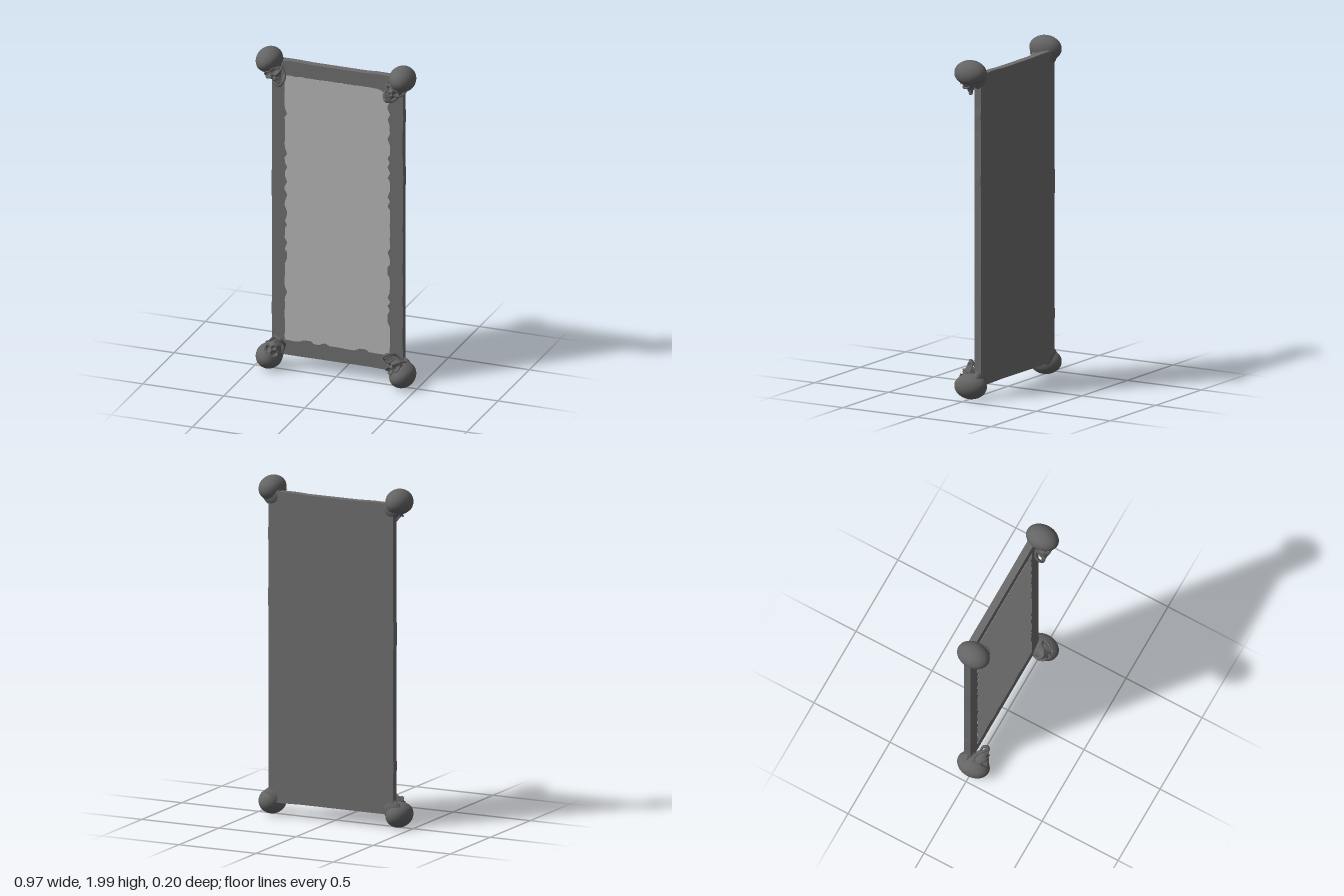
import * as THREE from 'three';

const boneMat = new THREE.MeshStandardMaterial({ color: 0x646464 });
boneMat.name = 'dark bone grey';
const frameMat = new THREE.MeshStandardMaterial({ color: 0x6c6c6c });
frameMat.name = 'frame grey';
const glassMat = new THREE.MeshStandardMaterial({ color: 0xb4b4b4 });
glassMat.name = 'mirror grey';

// Small seeded generator for the worn edges
function seeded(seed) {
  let s = seed;
  return () => (s = (s * 16807) % 2147483647) / 2147483647;
}

// Rectangle whose edges wander by up to "wear"
function wornRectangle(x, y0, y1, step, wear, seed) {
  const rnd = seeded(seed);
  const corners = [[-x, y0], [x, y0], [x, y1], [-x, y1]];
  const pts = [];
  corners.forEach(([ax, ay], i) => {
    const [bx, by] = corners[(i + 1) % 4];
    const len = Math.hypot(bx - ax, by - ay);
    const n = Math.round(len / step);
    const nx = -(by - ay) / len, ny = (bx - ax) / len;
    pts.push(new THREE.Vector2(ax, ay));
    for (let k = 1; k < n; k++) {
      const t = (k + (rnd() - 0.5) * 0.7) / n;
      const r = rnd();
      const d = wear * (r > 0.8 ? -1 : r * 0.5);
      pts.push(new THREE.Vector2(ax + (bx - ax) * t + nx * d, ay + (by - ay) * t + ny * d));
    }
  });
  return new THREE.Shape(pts);
}

function plate(name, shape, z, depth, mat) {
  const mesh = new THREE.Mesh(new THREE.ExtrudeGeometry(shape, { depth, bevelEnabled: false }), mat);
  mesh.position.z = z;
  mesh.name = name;
  return mesh;
}

// Ellipsoid with optional reshaping of each vertex
function blob(name, size, pos, rule, detail = 20) {
  const geo = new THREE.SphereGeometry(1, detail * 2, detail);
  geo.scale(...size);
  geo.translate(...pos);
  if (rule) {
    const p = geo.attributes.position;
    const v = new THREE.Vector3();
    for (let i = 0; i < p.count; i++) {
      rule(v.fromBufferAttribute(p, i));
      p.setXYZ(i, v.x, v.y, v.z);
    }
    geo.computeVertexNormals();
  }
  const mesh = new THREE.Mesh(geo, boneMat);
  mesh.name = name;
  return mesh;
}

function tube(name, pts, radius) {
  const curve = new THREE.CatmullRomCurve3(pts.map((p) => new THREE.Vector3(...p)));
  const mesh = new THREE.Mesh(new THREE.TubeGeometry(curve, 16, radius, 8), boneMat);
  mesh.name = name;
  return mesh;
}

// Hollows of the face: x, y, radius, depth
const hollows = [
  [-0.023, -0.063, 0.019, 0.034],
  [0.023, -0.063, 0.019, 0.034],
  [0, -0.089, 0.011, 0.022],
];

function carveFace(v) {
  if (v.z < 0.035) return;
  for (const [x, y, r, depth] of hollows) {
    const d = Math.hypot(v.x - x, v.y - y) / r;
    if (d < 1) v.z -= depth * (1 - d * d * d);
  }
}

function makeSkull() {
  const skull = new THREE.Group();
  // Cranium, narrower at the temples and higher at the back
  skull.add(blob('cranium', [0.077, 0.076, 0.1], [0, 0, 0], (v) => {
    if (v.y < 0) {
      const low = Math.min(1, -v.y / 0.076);
      v.x *= 1 - 0.12 * low;
      if (v.z > 0) v.z *= 1 - 0.1 * low;
    }
    carveFace(v);
  }, 32));
  // Face with eye sockets and nose opening
  skull.add(blob('face', [0.05, 0.05, 0.044], [0, -0.068, 0.031], (v) => {
    if (v.y < -0.075) v.x *= 1 - Math.min(0.3, (-0.075 - v.y) * 8);
    carveFace(v);
  }, 32));
  skull.add(blob('upperJaw', [0.027, 0.017, 0.026], [0, -0.107, 0.038], null, 12));
  for (const s of [-1, 1]) {
    skull.add(tube('browRidge', [[s * 0.004, -0.05, 0.074], [s * 0.022, -0.042, 0.073], [s * 0.043, -0.056, 0.056]], 0.006));
    skull.add(tube('cheekbone', [[s * 0.018, -0.086, 0.064], [s * 0.042, -0.08, 0.055], [s * 0.056, -0.069, 0.028], [s * 0.058, -0.055, -0.005]], 0.006));
    skull.add(tube('jawBranch', [[s * 0.05, -0.062, 0.002], [s * 0.045, -0.09, 0.003], [s * 0.038, -0.122, 0.012]], 0.007));
  }
  // Lower jaw bends round the chin
  skull.add(tube('lowerJaw', [[-0.038, -0.12, 0.011], [-0.027, -0.141, 0.035], [0, -0.151, 0.05], [0.027, -0.141, 0.035], [0.038, -0.12, 0.011]], 0.009));
  skull.add(blob('chin', [0.017, 0.012, 0.011], [0, -0.15, 0.049], null, 10));
  // Two rows of teeth
  for (const [y, w] of [[-0.121, 0.024], [-0.134, 0.023]]) {
    for (let i = -3; i <= 3; i++) {
      const a = i * 0.36;
      skull.add(blob('tooth', [0.0042, 0.008, 0.0045], [Math.sin(a) * w, y, 0.033 + Math.cos(a) * 0.024], null, 6));
    }
  }
  return skull;
}

export function createModel() {
  const model = new THREE.Group();
  model.name = 'standing mirror';

  // Solid backed frame with the glass nearly flush in it
  model.add(plate('frame', wornRectangle(0.404, 0.088, 1.918, 0.09, 0.003, 11), -0.066, 0.043, frameMat));
  model.add(plate('mirrorGlass', wornRectangle(0.322, 0.182, 1.828, 0.03, -0.012, 47), -0.0235, 0.002, glassMat));

  // A skull at each corner, chin pointing inward
  const tilt = 0.58;
  for (const sx of [-1, 1]) {
    for (const top of [true, false]) {
      const corner = new THREE.Group();
      corner.name = (top ? 'upper' : 'lower') + (sx > 0 ? 'Left' : 'Right') + 'Skull';
      corner.add(makeSkull());
      // Flared joint that grips the frame
      corner.add(blob('joint', [0.058, 0.062, 0.031], [0, -0.036, -0.046], null, 14));
      corner.position.set(sx * 0.41, top ? 1.923 : 0.082, 0);
      corner.rotation.z = -sx * (top ? tilt : Math.PI - tilt);
      model.add(corner);
    }
  }
  return model;
}
